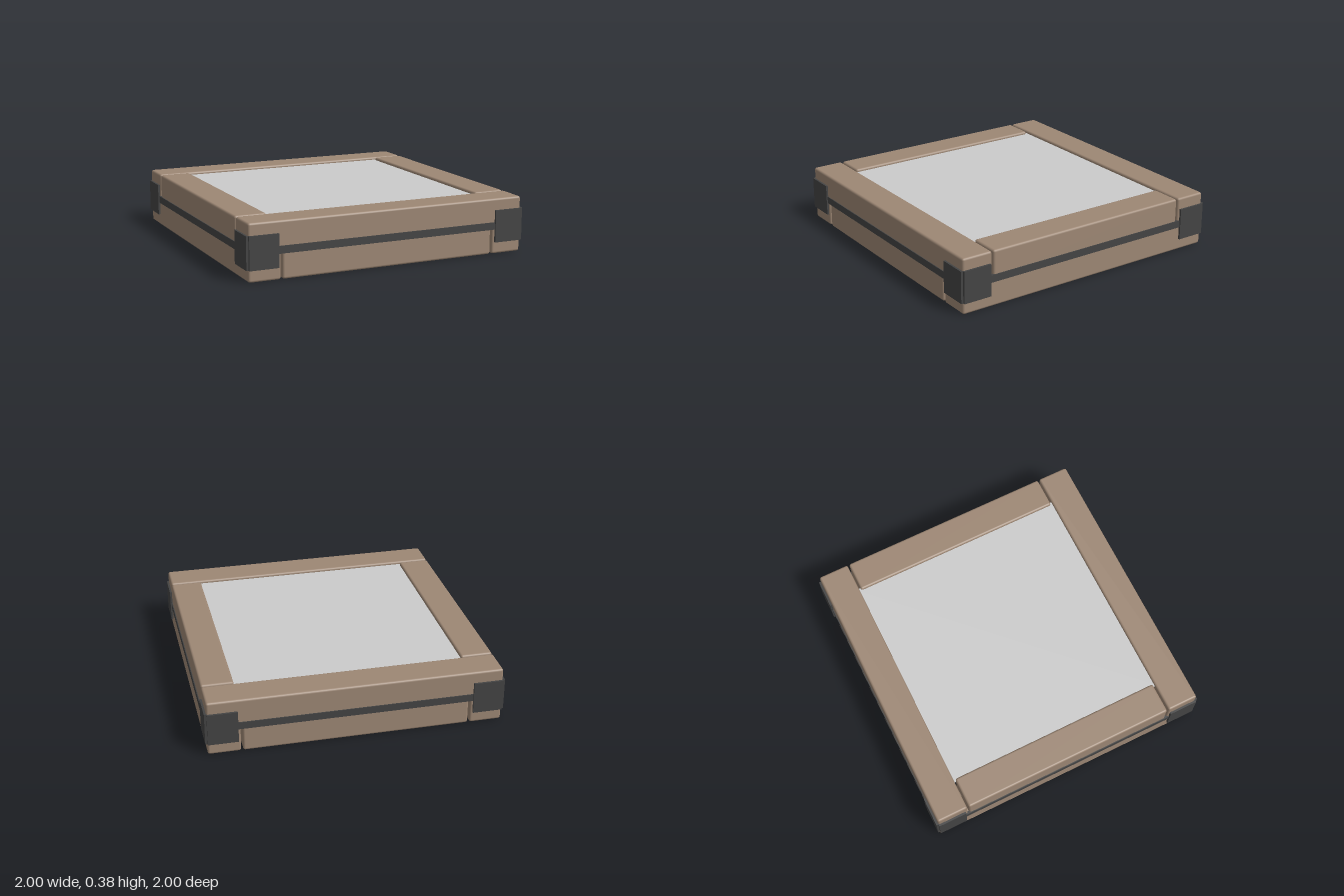
import * as THREE from 'three';
import { RoundedBoxGeometry } from 'three/addons/geometries/RoundedBoxGeometry.js';

export function createModel() {
  const model = new THREE.Group();
  const wood = new THREE.MeshStandardMaterial({ color: 0x9d8774 });
  const metal = new THREE.MeshStandardMaterial({ color: 0x444444 });
  const grey = new THREE.MeshStandardMaterial({ color: 0xcccccc, side: THREE.DoubleSide });

  const OUT = 0.986, IN = 0.768, TIER = 0.19;
  const beamWidth = OUT - IN, beamMid = (OUT + IN) / 2;

  function add(name, geometry, material, x, y, z, parent = model) {
    const mesh = new THREE.Mesh(geometry, material);
    mesh.name = name;
    mesh.position.set(x, y, z);
    parent.add(mesh);
    return mesh;
  }

  // Two stacked tiers of beams; the long pair alternates direction
  const longBeam = new RoundedBoxGeometry(2 * OUT, TIER, beamWidth, 2, 0.015);
  const shortBeam = new RoundedBoxGeometry(1.512, TIER, beamWidth, 2, 0.015);
  for (const tier of [0, 1]) {
    const frame = new THREE.Group();
    frame.name = tier ? 'upperFrame' : 'lowerFrame';
    frame.position.y = TIER * (tier + 0.5);
    frame.rotation.y = tier ? 0 : Math.PI / 2;
    for (const s of [-1, 1]) {
      add('longBeam', longBeam, wood, 0, 0, s * beamMid, frame);
      add('shortBeam', shortBeam, wood, s * beamMid, 0, 0, frame).rotation.y = Math.PI / 2;
    }
    model.add(frame);
  }

  // Metal strap and corner plates, repeated on all four sides
  const strap = new THREE.BoxGeometry(1.6, 0.05, 0.02);
  const plate = new THREE.BoxGeometry(0.2, 0.22, 0.03);
  for (let i = 0; i < 4; i++) {
    const side = new THREE.Group();
    side.name = 'sideFittings';
    side.rotation.y = i * Math.PI / 2;
    add('strap', strap, metal, 0, 0.193, 0.982, side);
    for (const s of [-1, 1]) add('cornerPlate', plate, metal, s * 0.885, 0.19, 0.985, side);
    model.add(side);
  }

  // Flat panel set just below the rim
  const panel = new THREE.PlaneGeometry(2 * IN + 0.04, 2 * IN + 0.04);
  add('panel', panel, grey, 0, 0.36, 0).rotation.x = -Math.PI / 2;

  return model;
}
